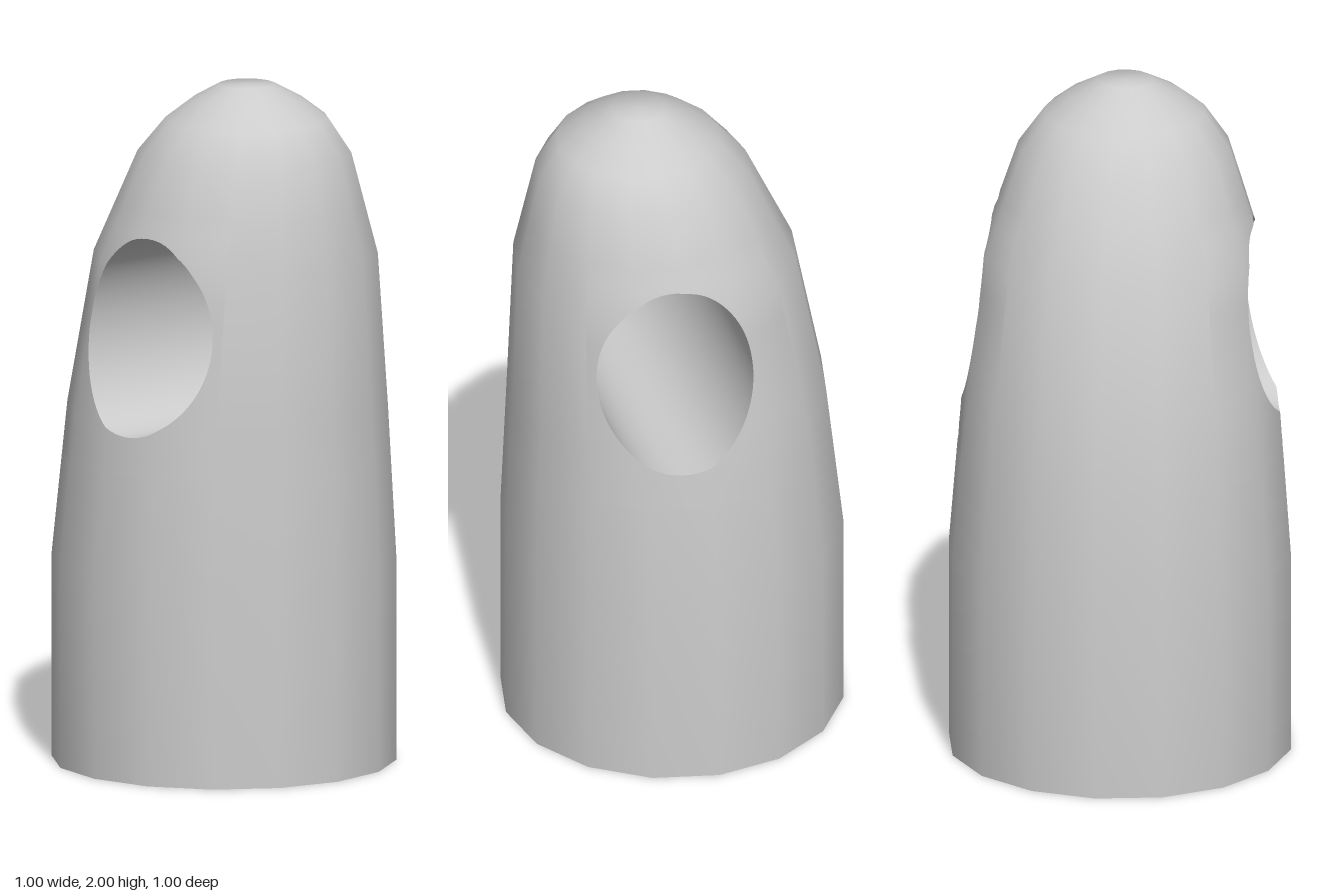
import * as THREE from 'three';

// Body sections: height, radius, forward offset of the centre
const SECTIONS = [
  [0, 0.5, 0], [0.6, 0.5, 0], [1.05, 0.465, 0.016], [1.5, 0.412, 0.052],
  [1.8, 0.31, 0.09], [1.9, 0.237, 0.102], [1.955, 0.165, 0.102], [2, 0.082, 0.1],
];
const SIDES = 16, STEP = (Math.PI * 2) / SIDES;
const ROWS = [0, 0.6, 0.9, 1.05, 1.5, 1.65, 1.8, 1.9, 1.955, 2];
const LOW = 0.9, HIGH = 1.65; // height range of the side panels
const HOLE = { y: 1.3, z: 0.095, ry: 0.288, rz: 0.225 };

function section(y) {
  const i = Math.max(1, SECTIONS.findIndex((s) => s[0] >= y - 1e-9));
  const [a, b] = [SECTIONS[i - 1], SECTIONS[i]];
  const t = (y - a[0]) / (b[0] - a[0]);
  return { r: a[1] + (b[1] - a[1]) * t, c: a[2] + (b[2] - a[2]) * t };
}

// Smooth outward normal of the body at an angle around it and a height
function bodyNormal(angle, y) {
  const d = Math.min(0.1, 2.03 - y);
  const y0 = Math.max(0, y - d), y1 = Math.min(2, y + d);
  const p = section(y0), q = section(y1);
  const slope = (q.r - p.r + (q.c - p.c) * Math.sin(angle)) / (y1 - y0);
  return new THREE.Vector3(Math.cos(angle), -slope, Math.sin(angle)).normalize();
}

// Point on the flat-sided body for a given side (+1 or -1), depth and height
function sidePoint(side, z, y) {
  const { r, c } = section(y);
  const u = (z - c) / r;
  const k = Math.floor(Math.asin(u) / STEP + 1e-6);
  const s0 = Math.sin(k * STEP), s1 = Math.sin((k + 1) * STEP);
  const x = THREE.MathUtils.lerp(Math.cos(k * STEP), Math.cos((k + 1) * STEP), (u - s0) / (s1 - s0));
  return { p: new THREE.Vector3(side * r * x, y, z), n: bodyNormal(Math.atan2(u, side * x), y) };
}

// Collects triangles, turning each one to agree with its normals
function surface() {
  const pos = [], nor = [];
  const tri = (a, b, c) => {
    const face = b.p.clone().sub(a.p).cross(c.p.clone().sub(a.p));
    const flip = face.dot(a.n.clone().add(b.n).add(c.n)) < 0;
    for (const v of flip ? [a, c, b] : [a, b, c]) {
      pos.push(...v.p.toArray());
      nor.push(...v.n.toArray());
    }
  };
  return {
    tri,
    quad(a, b, c, d) { tri(a, b, c); tri(a, c, d); },
    mesh(name) {
      const g = new THREE.BufferGeometry();
      g.setAttribute('position', new THREE.Float32BufferAttribute(pos, 3));
      g.setAttribute('normal', new THREE.Float32BufferAttribute(nor, 3));
      const m = new THREE.Mesh(g, new THREE.MeshStandardMaterial({ color: 0xcccccc }));
      m.name = name;
      return m;
    },
  };
}

// Direction pairs around a square border, from -1 to 1
function squareBorder(n) {
  const pts = [];
  for (let i = 0; i < n; i++) pts.push([-1 + (2 * i) / n, -1]);
  for (let i = 0; i < n; i++) pts.push([1, -1 + (2 * i) / n]);
  for (let i = 0; i < n; i++) pts.push([1 - (2 * i) / n, 1]);
  for (let i = 0; i < n; i++) pts.push([-1, 1 - (2 * i) / n]);
  return pts;
}

export function createModel() {
  const group = new THREE.Group();

  // Body wall and domed top, leaving a gap for the panel on each side
  const body = surface();
  const ringPoint = (k, y) => {
    const { r, c } = section(y), a = k * STEP;
    return { p: new THREE.Vector3(r * Math.cos(a), y, c + r * Math.sin(a)), n: bodyNormal(a, y) };
  };
  for (let j = 0; j < ROWS.length - 1; j++) {
    const [y0, y1] = [ROWS[j], ROWS[j + 1]];
    for (let k = 0; k < SIDES; k++) {
      if (y0 >= LOW && y1 <= HIGH && (k + 2) % 8 < 4) continue;
      body.quad(ringPoint(k, y0), ringPoint(k, y1), ringPoint(k + 1, y1), ringPoint(k + 1, y0));
    }
  }
  const crown = { p: new THREE.Vector3(0, 2, 0.1), n: new THREE.Vector3(0, 1, 0) };
  for (let k = 0; k < SIDES; k++) body.tri(crown, ringPoint(k, 2), ringPoint(k + 1, 2));
  group.add(body.mesh('body'));

  // Flat underside
  const base = new THREE.Mesh(
    new THREE.CircleGeometry(0.5, SIDES).rotateX(Math.PI / 2),
    new THREE.MeshStandardMaterial({ color: 0xcccccc }),
  );
  base.name = 'base';
  group.add(base);

  // Side panels, blended from a rectangular border to the oval hole
  const border = squareBorder(20), count = border.length, rings = 5;
  const panelPoint = (side, i, t) => {
    const [sx, sy] = border[i % count];
    const a = Math.atan2(sy, sx);
    const yOut = THREE.MathUtils.lerp(LOW, HIGH, (sy + 1) / 2);
    const { r, c } = section(yOut);
    // Depth along the straight facet that the border angle falls on
    const f = sx * 2, k = Math.min(1, Math.floor(f + 1e-9));
    const u = THREE.MathUtils.lerp(Math.sin(k * STEP), Math.sin((k + 1) * STEP), f - k);
    const z = THREE.MathUtils.lerp(HOLE.z + HOLE.rz * Math.cos(a), c + r * u, t);
    const y = THREE.MathUtils.lerp(HOLE.y + HOLE.ry * Math.sin(a), yOut, t);
    return sidePoint(side, z, y);
  };
  for (const side of [1, -1]) {
    const panel = surface();
    for (let i = 0; i < count; i++) {
      for (let j = 0; j < rings; j++) {
        const t0 = j / rings, t1 = (j + 1) / rings;
        panel.quad(panelPoint(side, i, t0), panelPoint(side, i, t1),
          panelPoint(side, i + 1, t1), panelPoint(side, i + 1, t0));
      }
    }
    group.add(panel.mesh(side > 0 ? 'leftPanel' : 'rightPanel'));
  }

  // Oval tunnel running from side to side
  const tunnel = surface();
  const tunnelPoint = (side, i) => {
    const [sx, sy] = border[i % count];
    const a = Math.atan2(sy, sx);
    const n = new THREE.Vector3(0, -Math.sin(a) / HOLE.ry, -Math.cos(a) / HOLE.rz).normalize();
    return { p: panelPoint(side, i, 0).p, n };
  };
  for (let i = 0; i < count; i++) {
    tunnel.quad(tunnelPoint(1, i), tunnelPoint(1, i + 1), tunnelPoint(-1, i + 1), tunnelPoint(-1, i));
  }
  group.add(tunnel.mesh('tunnel'));

  return group;
}
